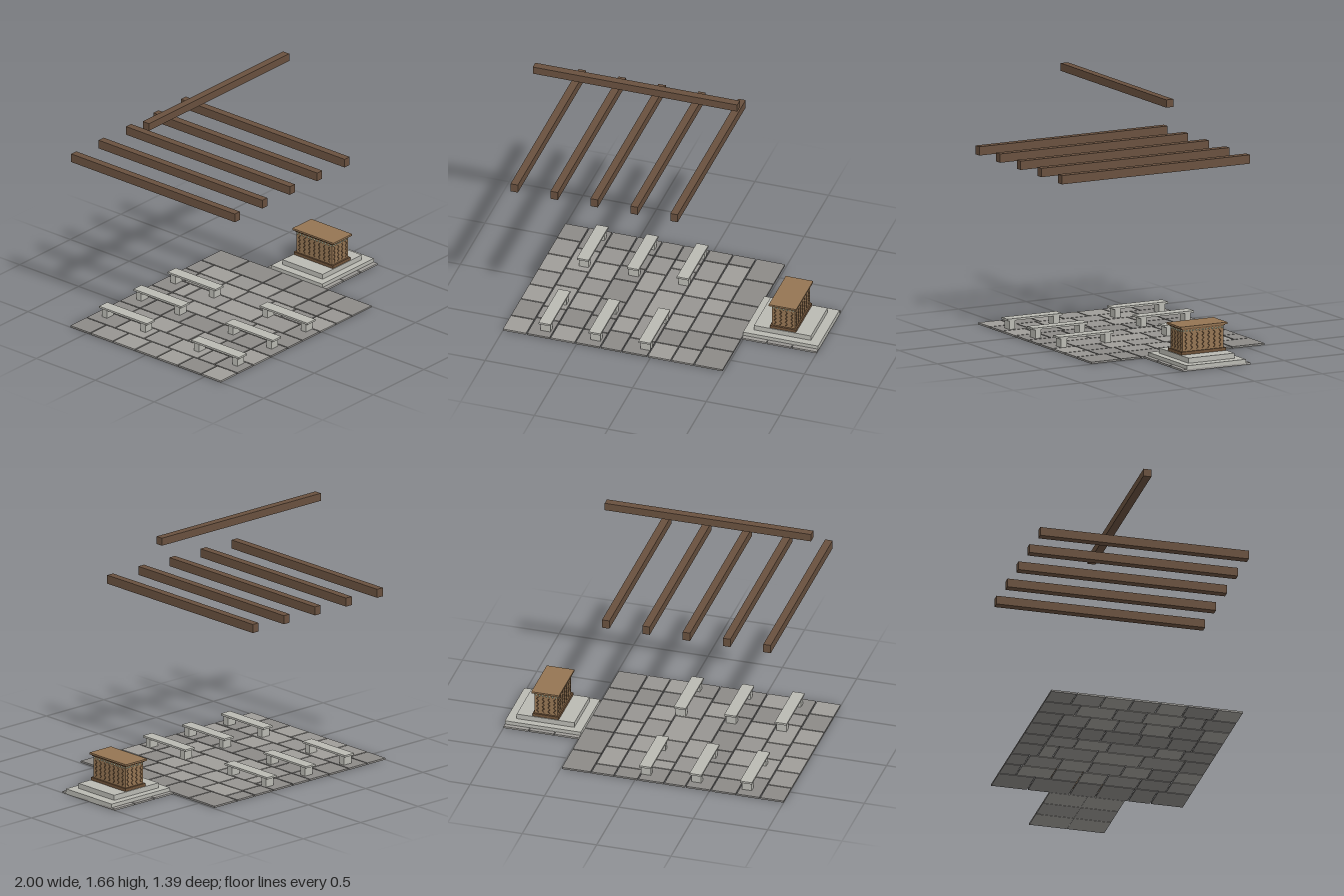
import * as THREE from 'three';

const mat = (color) => new THREE.MeshStandardMaterial({ color, flatShading: true });
const beamWood = mat(0x69513f);
const altarWood = mat(0x957553);
const trimWood = mat(0x6e5238);
const stone = mat(0xbabab3);
const paving = [mat(0x9f9d99), mat(0x979591), mat(0x8c8a87)];
const bead = mat(0xc9d2b4);

// Box given by its minimum and maximum on each axis
function box(parent, name, material, [x0, x1], [y0, y1], [z0, z1]) {
  const mesh = new THREE.Mesh(new THREE.BoxGeometry(x1 - x0, y1 - y0, z1 - z0), material);
  mesh.position.set((x0 + x1) / 2, (y0 + y1) / 2, (z0 + z1) / 2);
  mesh.name = name;
  parent.add(mesh);
  return mesh;
}

function group(parent, name) {
  const g = new THREE.Group();
  g.name = name;
  parent.add(g);
  return g;
}

// Paved floor: columns of flagstones with staggered joints
function buildFloor(root) {
  const floor = group(root, 'pavedFloor');
  const xs = [-1, -0.84, -0.68, -0.51, -0.34, -0.195, -0.02, 0.14, 0.295, 0.49];
  const joints = [
    [-0.47, -0.28, -0.09, 0.09, 0.27, 0.47],
    [-0.4, -0.155, 0.045, 0.3, 0.44],
    [-0.47, -0.29, -0.1, 0.08, 0.27, 0.47],
    [-0.47, -0.3, -0.14, 0.1, 0.3, 0.47],
    [-0.47, -0.28, -0.06, 0.255, 0.43],
    [-0.47, -0.37, -0.11, 0.2, 0.47],
    [-0.52, -0.3, -0.1, 0.12, 0.3, 0.47],
    [-0.53, -0.3, -0.12, 0.05, 0.27, 0.47],
    [-0.4, -0.12, 0.05, 0.27, 0.42],
  ];
  const gap = 0.004;
  joints.forEach((cuts, i) => {
    const zs = [-0.645, ...cuts, 0.64];
    for (let j = 0; j < zs.length - 1; j++) {
      const shade = paving[(i * 5 + j * 7 + i * j) % 5 === 0 ? 2 : (i + j) % 2];
      box(floor, 'flagstone', shade,
        [xs[i] + (i ? gap : 0), xs[i + 1] - (i < 8 ? gap : 0)], [0, 0.012],
        [zs[j] + gap, zs[j + 1] - gap]);
    }
  });
}

// Stone bench: slab on two block legs
function buildBench(root, x, side) {
  const bench = group(root, 'bench');
  box(bench, 'benchSeat', stone, [-0.04, 0.04], [0.07, 0.083], [-0.203, 0.203]);
  for (const s of [-1, 1]) {
    box(bench, 'benchLeg', stone, [-0.033, 0.033], [0.012, 0.07], [s * 0.163 - 0.021, s * 0.163 + 0.021]);
  }
  bench.position.set(x, 0, side * 0.39);
}

// Carved vine: a thin zigzag strand lying on a face
function vine(parent, x, z, turn) {
  const points = [];
  for (let i = 0; i <= 8; i++) {
    points.push(new THREE.Vector3((i % 2 ? 1 : -1) * 0.006, 0.1 + i * 0.0138, 0));
  }
  const curve = new THREE.CatmullRomCurve3(points);
  const mesh = new THREE.Mesh(new THREE.TubeGeometry(curve, 24, 0.002, 4), trimWood);
  mesh.position.set(x, 0, z);
  mesh.rotation.y = turn;
  mesh.name = 'carvedVine';
  parent.add(mesh);
}

// Stepped dais carrying the wooden altar
function buildAltar(root) {
  const dais = group(root, 'dais');
  const xs = [0.49, 0.66, 0.83, 1];
  for (let i = 0; i < 3; i++) {
    for (const [z0, z1] of [[-0.25, -0.002], [0.002, 0.25]]) {
      box(dais, 'daisPaving', paving[i % 2], [xs[i] + 0.003, xs[i + 1] - (i < 2 ? 0.003 : 0)], [0, 0.012], [z0, z1]);
    }
  }
  box(dais, 'lowerStep', stone, [0.49, 1], [0.002, 0.036], [-0.218, 0.218]);
  box(dais, 'upperStep', stone, [0.548, 0.935], [0.036, 0.07], [-0.17, 0.17]);

  const altar = group(root, 'altar');
  const cx = 0.743, hx = 0.078, hz = 0.152;
  box(altar, 'altarPlinth', trimWood, [cx - 0.088, cx + 0.088], [0.07, 0.09], [-0.165, 0.165]);
  box(altar, 'altarBody', altarWood, [cx - hx, cx + hx], [0.09, 0.243], [-hz, hz]);
  box(altar, 'altarCornice', trimWood, [cx - 0.085, cx + 0.085], [0.236, 0.244], [-0.16, 0.16]);
  box(altar, 'altarTop', altarWood, [cx - 0.093, cx + 0.093], [0.244, 0.256], [-0.174, 0.174]);

  // Vines and a row of beads on each face
  const beadGeometry = new THREE.SphereGeometry(0.006, 8, 6);
  const addBead = (x, z) => {
    const mesh = new THREE.Mesh(beadGeometry, bead);
    mesh.position.set(x, 0.224, z);
    mesh.name = 'bead';
    altar.add(mesh);
  };
  for (const s of [-1, 1]) {
    for (let i = 0; i < 4; i++) vine(altar, cx + (i - 1.5) * 0.038, s * hz, 0);
    for (let i = 0; i < 7; i++) vine(altar, cx + s * hx, (i - 3) * 0.042, Math.PI / 2);
    for (let i = 0; i < 7; i++) addBead(cx + (i - 3) * 0.022, s * hz);
    for (let i = 0; i < 13; i++) addBead(cx + s * hx, (i - 6) * 0.0235);
  }
}

// Roof timbers: five cross beams under one ridge beam
function buildRoof(root) {
  const roof = group(root, 'roofTimbers');
  for (let i = 0; i < 5; i++) {
    const x = -0.904 + i * 0.271;
    box(roof, 'crossBeam', beamWood, [x - 0.025, x + 0.025], [1.135, 1.193], [-0.695, 0.695]);
  }
  box(roof, 'ridgeBeam', beamWood, [-1, 0.387], [1.605, 1.656], [-0.026, 0.026]);
}

export function createModel() {
  const root = new THREE.Group();
  root.name = 'openChapel';
  buildFloor(root);
  for (const x of [-0.732, -0.393, -0.054]) {
    for (const side of [-1, 1]) buildBench(root, x, side);
  }
  buildAltar(root);
  buildRoof(root);
  return root;
}
